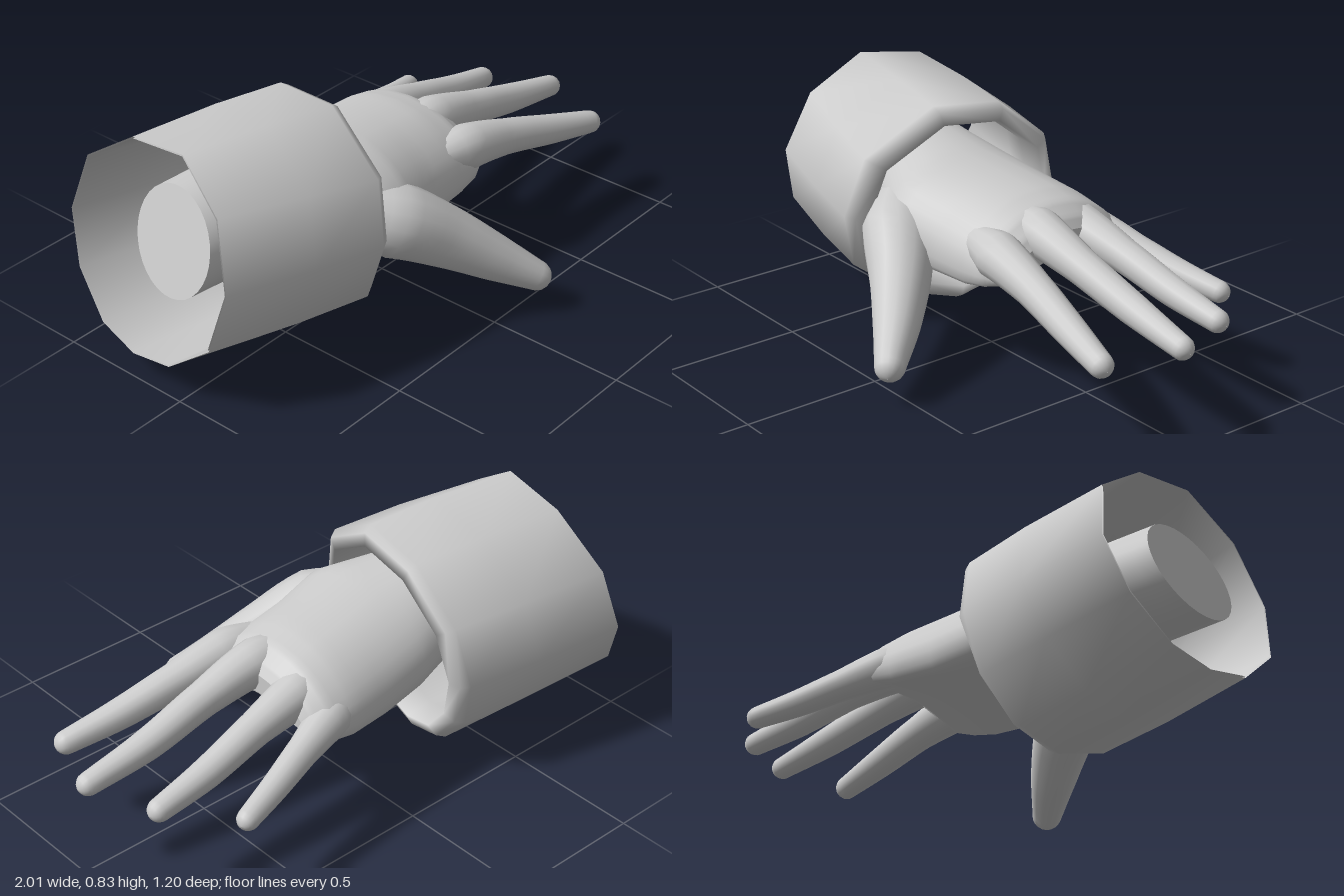
import * as THREE from 'three';

const material = new THREE.MeshStandardMaterial({ color: 0xcccccc, side: THREE.DoubleSide });

// Skin a list of rings (equal point counts), optionally closing the ends
function loft(rings, capStart, capEnd) {
  const n = rings[0].length, pos = [], index = [];
  rings.forEach(r => r.forEach(p => pos.push(p.x, p.y, p.z)));
  for (let i = 0; i < rings.length - 1; i++) {
    for (let j = 0; j < n; j++) {
      const k = (j + 1) % n, a = i * n + j, b = i * n + k;
      index.push(a, b, a + n, b, b + n, a + n);
    }
  }
  const cap = (ring, flip) => {
    const base = pos.length / 3;
    const c = ring.reduce((s, p) => s.add(p), new THREE.Vector3()).divideScalar(n);
    [...ring, c].forEach(p => pos.push(p.x, p.y, p.z));
    for (let j = 0; j < n; j++) {
      const a = base + j, b = base + (j + 1) % n;
      index.push(...(flip ? [b, a, base + n] : [a, b, base + n]));
    }
  };
  if (capStart) cap(rings[0], true);
  if (capEnd) cap(rings[rings.length - 1], false);
  const g = new THREE.BufferGeometry();
  g.setAttribute('position', new THREE.Float32BufferAttribute(pos, 3));
  g.setIndex(index);
  g.computeVertexNormals();
  return g;
}

function addMesh(group, name, geometry) {
  const mesh = new THREE.Mesh(geometry, material);
  mesh.name = name;
  group.add(mesh);
}

// Linear lookup in a list of numbers, u from 0 to 1
function sample(list, u) {
  const f = u * (list.length - 1), i = Math.min(Math.floor(f), list.length - 2);
  return THREE.MathUtils.lerp(list[i], list[i + 1], f - i);
}

// Tapered digit along a curve, with a rounded tip
function digit(points, radii) {
  const curve = new THREE.CatmullRomCurve3(points.map(p => new THREE.Vector3(...p)));
  const rings = [], sides = 14;
  const ring = (c, t, r) => {
    const n = new THREE.Vector3(0, 1, 0);
    n.addScaledVector(t, -n.dot(t)).normalize();
    const b = new THREE.Vector3().crossVectors(t, n);
    rings.push(Array.from({ length: sides }, (_, j) => {
      const a = j / sides * Math.PI * 2;
      return c.clone().addScaledVector(n, r * Math.cos(a)).addScaledVector(b, r * Math.sin(a));
    }));
  };
  for (let i = 0; i <= 20; i++) {
    const u = i / 20;
    ring(curve.getPoint(u), curve.getTangent(u), sample(radii, u));
  }
  const end = curve.getPoint(1), t = curve.getTangent(1), r = radii[radii.length - 1];
  for (let i = 1; i <= 5; i++) {
    const a = i / 5 * Math.PI / 2;
    ring(end.clone().addScaledVector(t, r * Math.sin(a)), t, Math.max(r * Math.cos(a), 0.001));
  }
  return loft(rings, false, false);
}

// Forearm, wrist and arched palm: x, z min, z max, top, bottom, arch, end tilt
function armAndPalm() {
  const sections = [
    [-0.88, -0.30, 0.07, 0.68, 0.33, 0, 1],
    [-0.62, -0.295, 0.11, 0.68, 0.33, 0, 0.5],
    [-0.40, -0.30, 0.18, 0.665, 0.33, 0.03, 0.2],
    [-0.20, -0.34, 0.29, 0.645, 0.33, 0.07, 0],
    [-0.02, -0.355, 0.255, 0.62, 0.335, 0.09, 0],
    [0.14, -0.37, 0.24, 0.598, 0.35, 0.095, 0],
    [0.23, -0.37, 0.23, 0.575, 0.38, 0.095, 0],
    [0.285, -0.345, 0.205, 0.535, 0.40, 0.085, 0],
    [0.31, -0.30, 0.16, 0.50, 0.43, 0.07, 0],
  ];
  const power = (v, e) => Math.sign(v) * Math.abs(v) ** e;
  const rings = [], sides = 32, steps = 32;
  for (let i = 0; i <= steps; i++) {
    const [x, z0, z1, top, bottom, arch, tilt] =
      sections[0].map((_, k) => sample(sections.map(s => s[k]), i / steps));
    const square = 1 - 2.5 * arch;
    rings.push(Array.from({ length: sides }, (_, j) => {
      const a = j / sides * Math.PI * 2, u = power(Math.sin(a), square);
      const dy = (top - bottom) / 2 * power(Math.cos(a), square), dz = (z1 - z0) / 2 * u;
      return new THREE.Vector3(x + tilt * (0.3 * dy - 0.15 * dz),
        (top + bottom) / 2 + dy - arch * u * u, (z0 + z1) / 2 + dz);
    }));
  }
  return loft(rings, true, true);
}

// Wide faceted cuff with slanted ends and a thick front rim
function sleeve() {
  // Corners of the front and back openings as z, y
  const front = [[0.03, 0.795], [0.28, 0.64], [0.34, 0.43], [0.29, 0.23], [0.08, 0.07], [-0.14, 0],
    [-0.30, 0.05], [-0.43, 0.20], [-0.49, 0.40], [-0.43, 0.61], [-0.23, 0.77]];
  const back = [[-0.07, 0.83], [0.12, 0.70], [0.20, 0.48], [0.15, 0.27], [-0.03, 0.13], [-0.21, 0.09],
    [-0.38, 0.12], [-0.53, 0.25], [-0.60, 0.43], [-0.54, 0.64], [-0.32, 0.79]];
  // Position from back (0) to front (1), scale about the ring centre, forward shift
  const rows = [[0, 1, 0], [0.55, 1.02, 0], [1, 1, 0], [1, 0.95, 0.035], [1, 0.84, 0.05],
    [0.9, 0.83, 0], [0.6, 0.92, 0], [0, 0.985, 0]];
  const { lerp } = THREE.MathUtils;
  return loft(rows.map(([t, scale, shift]) => front.map(([fz, fy], j) => {
    const cz = lerp(-0.2, -0.075, t), cy = lerp(0.46, 0.40, t);
    const dz = (lerp(back[j][0], fz, t) - cz) * scale, dy = (lerp(back[j][1], fy, t) - cy) * scale;
    return new THREE.Vector3(
      lerp(-0.92, -0.33, t) + shift + lerp(0.21, 0.155, t) * dy - lerp(0.13, 0.155, t) * dz, cy + dy, cz + dz);
  })), false, false);
}

export function createModel() {
  const group = new THREE.Group();
  group.name = 'handWithSleeve';
  addMesh(group, 'sleeve', sleeve());
  addMesh(group, 'forearmAndPalm', armAndPalm());

  // Digits swell out of the palm and run to the tip
  const digits = {
    indexFinger: [[[0.02, 0.455, 0.13], [0.24, 0.45, 0.165], [0.45, 0.41, 0.188], [0.67, 0.355, 0.222], [0.86, 0.315, 0.258]],
      [0.04, 0.083, 0.064, 0.054, 0.042]],
    middleFinger: [[[0.02, 0.50, -0.03], [0.25, 0.495, 0.0], [0.48, 0.445, 0.005], [0.72, 0.38, 0.0], [0.955, 0.335, 0.008]],
      [0.04, 0.083, 0.062, 0.054, 0.04]],
    ringFinger: [[[0.02, 0.48, -0.16], [0.23, 0.462, -0.19], [0.44, 0.42, -0.208], [0.66, 0.36, -0.225], [0.86, 0.323, -0.235]],
      [0.04, 0.082, 0.06, 0.052, 0.04]],
    littleFinger: [[[0.02, 0.43, -0.25], [0.20, 0.405, -0.305], [0.36, 0.37, -0.35], [0.52, 0.33, -0.395], [0.665, 0.302, -0.435]],
      [0.04, 0.072, 0.054, 0.046, 0.038]],
    thumb: [[[-0.38, 0.47, 0.08], [-0.21, 0.405, 0.235], [-0.06, 0.305, 0.345], [0.06, 0.21, 0.45], [0.16, 0.132, 0.55]],
      [0.08, 0.13, 0.105, 0.08, 0.053]],
  };
  for (const [name, [points, radii]] of Object.entries(digits)) addMesh(group, name, digit(points, radii));
  return group;
}
